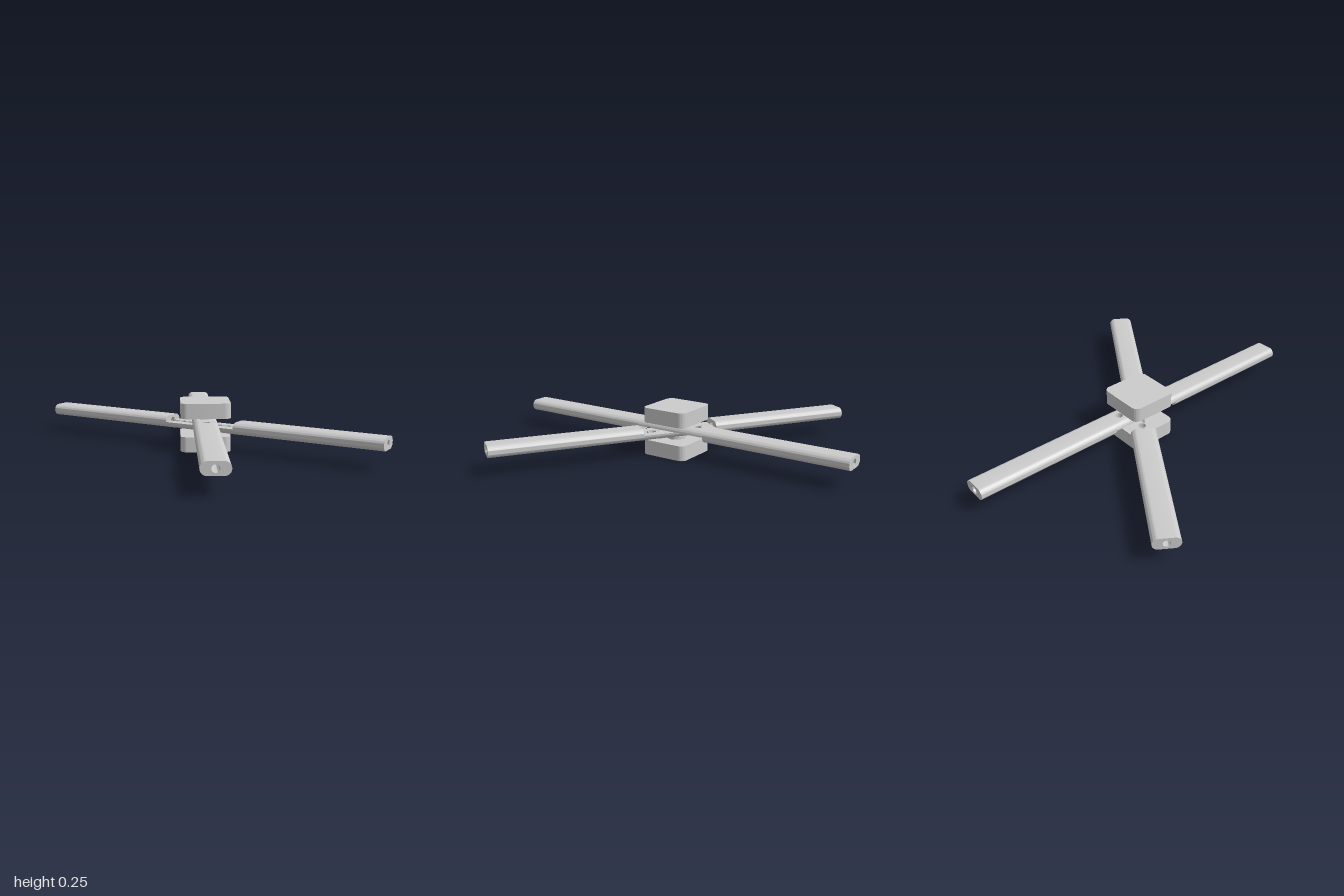
import * as THREE from 'three';
import { toCreasedNormals } from 'three/addons/utils/BufferGeometryUtils.js';

const R = 0.031;        // half thickness of a bar
const FLAT = 0.0355;    // half width of its flat faces
const BORE = 0.018;     // lengthwise bore radius
const HOLE = 0.02;      // upright hole radius
const HOLE_AT = 0.137;  // hole distance from the pivot
const LAP = 0.205;      // half length of the lap joint
const MID = 0.1275;     // height of the bar axis

const material = new THREE.MeshStandardMaterial({ color: 0xcccccc, side: THREE.DoubleSide });

function addMesh(parent, name, geometry) {
  const mesh = new THREE.Mesh(toCreasedNormals(geometry, 0.6), material);
  mesh.name = name;
  parent.add(mesh);
  return mesh;
}

// Full bar section: flat top and bottom, round sides, central bore
function fullSection() {
  const s = new THREE.Shape();
  s.moveTo(-FLAT, -R);
  s.lineTo(FLAT, -R);
  s.absarc(FLAT, 0, R, -Math.PI / 2, Math.PI / 2, false);
  s.lineTo(-FLAT, R);
  s.absarc(-FLAT, 0, R, Math.PI / 2, Math.PI * 1.5, false);
  const bore = new THREE.Path();
  bore.absarc(0, 0, BORE, 0, Math.PI * 2, true);
  s.holes.push(bore);
  return s;
}

// Upper half of the section, with the bore left as a groove
function halfSection() {
  const s = new THREE.Shape();
  s.moveTo(BORE, 0);
  s.lineTo(FLAT + R, 0);
  s.absarc(FLAT, 0, R, 0, Math.PI / 2, false);
  s.lineTo(-FLAT, R);
  s.absarc(-FLAT, 0, R, Math.PI / 2, Math.PI, false);
  s.lineTo(-BORE, 0);
  s.absarc(0, 0, BORE, Math.PI, 0, true);
  return s;
}

function run(shape, from, to) {
  const g = new THREE.ExtrudeGeometry(shape, { depth: to - from, bevelEnabled: false, curveSegments: 16 });
  return g.translate(0, 0, from);
}

// Short half-thickness block pierced by an upright hole, sides bent to the bar's round
function holeBlock(length) {
  const w = FLAT + R, h = length / 2;
  const s = new THREE.Shape();
  s.moveTo(-w, -h);
  s.lineTo(w, -h);
  s.lineTo(w, h);
  s.lineTo(-w, h);
  s.closePath();
  const hole = new THREE.Path();
  hole.absarc(0, 0, HOLE, 0, Math.PI * 2, true);
  s.holes.push(hole);
  const g = new THREE.ExtrudeGeometry(s, { depth: R, steps: 8, bevelEnabled: false, curveSegments: 16 });
  g.rotateX(-Math.PI / 2);
  const p = g.attributes.position;
  for (let i = 0; i < p.count; i++) {
    const x = p.getX(i), y = p.getY(i);
    if (Math.abs(x) > w - 1e-4) {
      p.setX(i, Math.sign(x) * (FLAT + Math.sqrt(Math.max(0, R * R - y * y))));
    }
  }
  return g;
}

// One bar along z, its lower half cut away around the pivot
function createBar(name) {
  const bar = new THREE.Group();
  bar.name = name;
  const half = 0.024;
  addMesh(bar, 'frontArm', run(fullSection(), LAP, 1));
  addMesh(bar, 'backArm', run(fullSection(), -1, -LAP));
  addMesh(bar, 'lapCentre', run(halfSection(), -HOLE_AT + half, HOLE_AT - half));
  for (const side of [-1, 1]) {
    addMesh(bar, 'lapHole', holeBlock(half * 2)).position.z = side * HOLE_AT;
    const a = side * (HOLE_AT + half), b = side * LAP;
    addMesh(bar, 'lapEnd', run(halfSection(), Math.min(a, b), Math.max(a, b)));
  }
  bar.position.y = MID;
  return bar;
}

// Square cap with rounded corners
function capGeometry() {
  const w = 0.131, r = 0.035, c = w - r;
  const s = new THREE.Shape();
  s.absarc(c, c, r, 0, Math.PI / 2, false);
  s.absarc(-c, c, r, Math.PI / 2, Math.PI, false);
  s.absarc(-c, -c, r, Math.PI, Math.PI * 1.5, false);
  s.absarc(c, -c, r, Math.PI * 1.5, Math.PI * 2, false);
  const g = new THREE.ExtrudeGeometry(s, { depth: 0.08, bevelEnabled: false, curveSegments: 10 });
  return g.rotateX(-Math.PI / 2);
}

export function createModel() {
  const model = new THREE.Group();
  model.name = 'crossBars';

  // Upper-lap bar straight ahead, lower-lap bar swung to the side
  model.add(createBar('straightBar'));
  const swung = createBar('angledBar');
  swung.rotation.set(0, Math.atan2(0.834, 0.552), Math.PI);
  model.add(swung);

  // Caps above and below, each with a round collar against the bars
  const collarHeight = MID - R - 0.08;
  for (const [name, side] of [['lower', -1], ['upper', 1]]) {
    addMesh(model, name + 'Cap', capGeometry()).position.y = side < 0 ? 0 : 0.175;
    const collar = addMesh(model, name + 'Collar', new THREE.CylinderGeometry(0.048, 0.048, collarHeight, 32));
    collar.position.y = MID + side * (R + collarHeight / 2);
  }
  return model;
}
